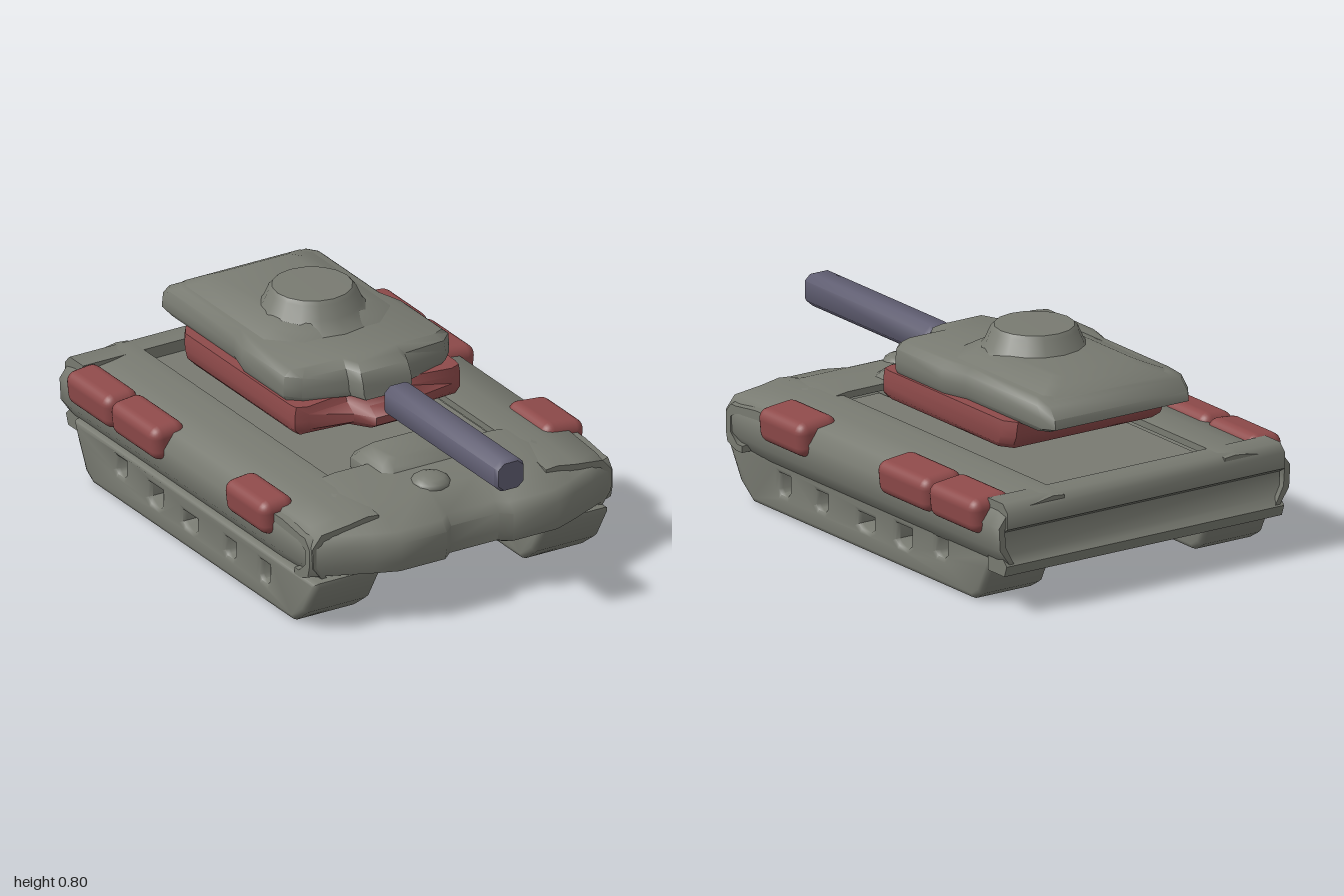
import * as THREE from 'three';
import { toCreasedNormals } from 'three/addons/utils/BufferGeometryUtils.js';
import { RoundedBoxGeometry } from 'three/addons/geometries/RoundedBoxGeometry.js';

const mat = (name, color) => Object.assign(new THREE.MeshStandardMaterial({ color }), { name });

// Mirrors a half outline (points with u > 0) into a closed counter-clockwise one
const mirrored = (half) => counterClockwise([...half, ...half.slice().reverse().map(([u, v]) => [-u, v])]);
const counterClockwise = (pts) => (THREE.ShapeUtils.isClockWise(pts.map(([x, y]) => ({ x, y }))) ? pts.reverse() : pts);

// Joins sections { t, pts } that have equal point counts; place(u, v, t) gives the 3D point
function loft(sections, place, crease = 0.9) {
  const pos = [], idx = [], n = sections[0].pts.length, last = (sections.length - 1) * n;
  for (const s of sections) for (const [u, v] of s.pts) pos.push(...place(u, v, s.t));
  for (let i = 0; i < sections.length - 1; i++) {
    for (let j = 0; j < n; j++) {
      const a = i * n + j, b = i * n + (j + 1) % n;
      idx.push(a, b, b + n, a, b + n, a + n);
    }
  }
  const cap = (s) => THREE.ShapeUtils.triangulateShape(s.pts.map(([x, y]) => new THREE.Vector2(x, y)), []);
  for (const [a, b, c] of cap(sections[0])) idx.push(c, b, a);
  for (const [a, b, c] of cap(sections[sections.length - 1])) idx.push(last + a, last + b, last + c);
  // Turn the faces outward when the enclosed volume is negative
  const p = (i) => new THREE.Vector3().fromArray(pos, i * 3);
  let volume = 0;
  for (let i = 0; i < idx.length; i += 3) volume += p(idx[i]).dot(p(idx[i + 1]).cross(p(idx[i + 2])));
  if (volume < 0) idx.reverse();
  const g = new THREE.BufferGeometry();
  g.setAttribute('position', new THREE.Float32BufferAttribute(pos, 3));
  g.setIndex(idx);
  return toCreasedNormals(g, crease);
}

// Extrudes a side outline of (z, y) points across x from x0 to x1, with rounded edges
function sideExtrude(outline, x0, x1, bevel, holes = []) {
  const shape = new THREE.Shape(outline.map(([z, y]) => new THREE.Vector2(z, y)));
  for (const [z, y, w, h] of holes) {
    shape.holes.push(new THREE.Path([[-w, -h * 0.6], [-w, h], [w, h], [w, -h * 0.6], [w * 0.6, -h], [-w * 0.6, -h]]
      .map(([a, b]) => new THREE.Vector2(z + a, y + b))));
  }
  const g = new THREE.ExtrudeGeometry(shape, {
    depth: x1 - x0 - 2 * bevel, bevelEnabled: bevel > 0, bevelSize: bevel, bevelThickness: bevel,
    bevelOffset: -bevel, bevelSegments: 2,
  });
  g.rotateY(-Math.PI / 2).translate(x1 - bevel, 0, 0);
  return toCreasedNormals(g, 0.9);
}

export function createModel() {
  const tank = new THREE.Group();
  tank.name = 'tank';
  const grey = mat('armourGrey', 0x787a71);
  const red = mat('markingRed', 0x8e4a4a);
  const steel = mat('gunSteel', 0x605e72);
  const add = (parent, name, geometry, material, x = 0, y = 0, z = 0) => {
    const m = new THREE.Mesh(geometry, material);
    m.name = name;
    m.position.set(x, y, z);
    parent.add(m);
    return m;
  };

  const hull = new THREE.Group();
  hull.name = 'hull';
  tank.add(hull);

  // Tracks with open gaps between the wheels, and the hollow fenders above them
  const trackSide = [[0.57, 0], [0.65, 0.06], [0.72, 0.18], [0.72, 0.2], [-0.9, 0.2], [-0.87, 0.13], [-0.82, 0.03], [-0.77, 0]];
  const gaps = [[0.38, 0.115, 0.03, 0.035], [0.15, 0.115, 0.03, 0.03], [-0.12, 0.11, 0.045, 0.025],
    [-0.35, 0.12, 0.045, 0.035], [-0.58, 0.14, 0.03, 0.03]];
  const fenderHalf = [[0.57, 0.17], [0.595, 0.18], [0.635, 0.24], [0.64, 0.33], [0.6, 0.385], [0.48, 0.4], [0.4, 0.415], [0.35, 0.41],
    [0.35, 0.385], [0.47, 0.375], [0.59, 0.355], [0.615, 0.32], [0.61, 0.25]];
  const sides = [
    { side: 'left', s: 1, x0: 0.32, x1: 0.597, padX: 0.587, padW: 0.172 },
    { side: 'right', s: -1, x0: -0.637, x1: -0.36, padX: 0.608, padW: 0.14 },
  ];
  for (const { side, s, x0, x1, padX, padW } of sides) {
    add(hull, side + 'Track', sideExtrude(trackSide, x0, x1, 0.02, gaps), grey);
    const fender = [[-0.99, 0.94], [-0.94, 1], [0.46, 1], [0.62, 0.93], [0.69, 0.86]].map(([t, k]) => ({
      t, pts: counterClockwise(fenderHalf.map(([x, y]) => [s * (0.35 + (x - 0.35) * (0.7 + 0.3 * k)), 0.28 + (y - 0.28) * k])),
    }));
    add(hull, side + 'Fender', loft(fender, (u, v, t) => [u, v, t]), grey);
    // Red stowage pads on the fender
    for (const [z, len] of [[0.305, 0.28], [-0.44, 0.315], [-0.745, 0.3]]) {
      const pad = add(hull, side + 'FenderPad', new RoundedBoxGeometry(padW, 0.13, len, 3, 0.04), red, s * padX, 0.348, z);
      pad.rotation.z = -s * 0.1;
    }
  }

  // Nose: hollow side sections that bulge forward across the width
  const noseHalf = [[0.635, 0.68, 0.37], [0.52, 0.73, 0.38], [0.42, 0.775, 0.41], [0.33, 0.81, 0.42], [0.14, 0.81, 0.42], [0.1, 0.775, 0.42]];
  const nose = [...noseHalf.map(([x, z, y]) => [-x, z, y]), ...noseHalf.slice().reverse()].map(([t, f, top]) => ({
    t, pts: counterClockwise([[0.36, top], [0.5, top], [0.62, top - 0.015], [f - 0.03, 0.355], [f, 0.32], [f, 0.25], [f - 0.01, 0.21],
      [f - 0.06, 0.19], [0.58, 0.19], [0.58, 0.215], [f - 0.07, 0.215], [f - 0.03, 0.25], [f - 0.03, 0.31], [f - 0.06, 0.325],
      [0.6, top - 0.04], [0.36, top - 0.025]]),
  }));
  add(hull, 'nose', loft(nose, (z, y, x) => [x, y, z]), grey);

  // Rear wall with a ledge above a long slot
  const rear = [[-0.88, 0.41], [-0.97, 0.41], [-1, 0.38], [-1, 0.32], [-0.965, 0.3], [-0.965, 0.21], [-0.995, 0.18], [-0.98, 0.14], [-0.88, 0.14]];
  add(hull, 'rearWall', sideExtrude(rear, -0.605, 0.605, 0), grey);

  // Sunken deck floor, open underneath
  add(hull, 'deckFloor', new THREE.BoxGeometry(0.74, 0.04, 1.32), grey, 0, 0.345, -0.24);

  // Driver's hatch with a small lump in front of it
  const hatch = [[0.37, 0.18, 0.13], [0.41, 0.18, 0.13], [0.435, 0.155, 0.1], [0.457, 0.12, 0.075]].map(([t, w, d]) => ({
    t, pts: mirrored([[w * 0.8, -d], [w, -d * 0.75], [w, d * 0.75], [w * 0.8, d]]),
  }));
  add(hull, 'driverHatch', loft(hatch, (x, z, y) => [x - 0.02, y, z + 0.36]), grey);
  add(hull, 'deckLump', new THREE.SphereGeometry(0.075, 12, 8), grey, -0.06, 0.4, 0.57).scale.y = 0.5;

  const turret = new THREE.Group();
  turret.name = 'turret';
  tank.add(turret);
  const upright = (x, z, y) => [x + 0.005, y, z];

  // Red turret base with a pointed front
  const base = [[0.468, -0.02, 0.2, -0.62], [0.49, 0, 0.235, -0.645], [0.52, 0, 0.235, -0.66], [0.55, 0, 0.19, -0.665], [0.578, -0.005, 0.175, -0.665]]
    .map(([t, e, f, b]) => ({
      t, pts: mirrored([[0.08, f], [0.13, f - 0.07], [0.3, 0.135 + e], [0.345 + e, 0.115], [0.352 + e, 0.08], [0.352 + e, b + 0.05], [0.32 + e, b]]),
    }));
  add(turret, 'turretBase', loft(base, upright), red);

  // Grey turret body with a mantlet bulge and a rear overhang
  const body = [[0.575, -0.012, 0.19, -0.81], [0.595, 0, 0.185, -0.86], [0.63, 0, 0.18, -0.855], [0.67, -0.004, 0.16, -0.82], [0.692, -0.03, 0.12, -0.78]]
    .map(([t, e, f, b]) => ({
      t, pts: mirrored([[0.1 + e / 2, f], [0.125 + e / 2, f - 0.06], [0.3 + e, 0.09 + e], [0.347 + e, 0.04],
        [0.347 + e, -0.24], [0.318 + e, -0.34], [0.318 + e, b + 0.04], [0.29 + e, b]]),
    }));
  add(turret, 'turretBody', loft(body, upright), grey);

  // Raised rear roof
  const roof = [[0.67, 0.3, -0.1, -0.81], [0.69, 0.27, -0.12, -0.79], [0.712, 0.215, -0.15, -0.75], [0.73, 0.175, -0.18, -0.71]].map(([t, w, f, b]) => ({
    t, pts: mirrored([[w * 0.6, f], [w, f - 0.1], [w, b + 0.04], [w - 0.03, b]]),
  }));
  add(turret, 'rearRoof', loft(roof, upright), grey);

  // Cupola with a flat top
  const cupola = [[0.24, 0.68], [0.215, 0.7], [0.18, 0.735], [0.158, 0.785], [0.145, 0.799], [0, 0.8]]
    .map(([r, y]) => new THREE.Vector2(r, y));
  add(turret, 'cupola', toCreasedNormals(new THREE.LatheGeometry(cupola, 16), 0.6), grey, 0.01, 0, -0.33);

  // Gun barrel with eight sides
  const barrel = [[0.24, 0.055], [0.26, 0.06], [0.98, 0.06], [1, 0.052]].map(([t, r]) => ({
    t, pts: mirrored([[r * 0.55, -r], [r, -r * 0.6], [r, r * 0.6], [r * 0.55, r]]),
  }));
  add(turret, 'gunBarrel', loft(barrel, (x, y, z) => [x + 0.01, y + 0.58, z]), steel);
  return tank;
}
